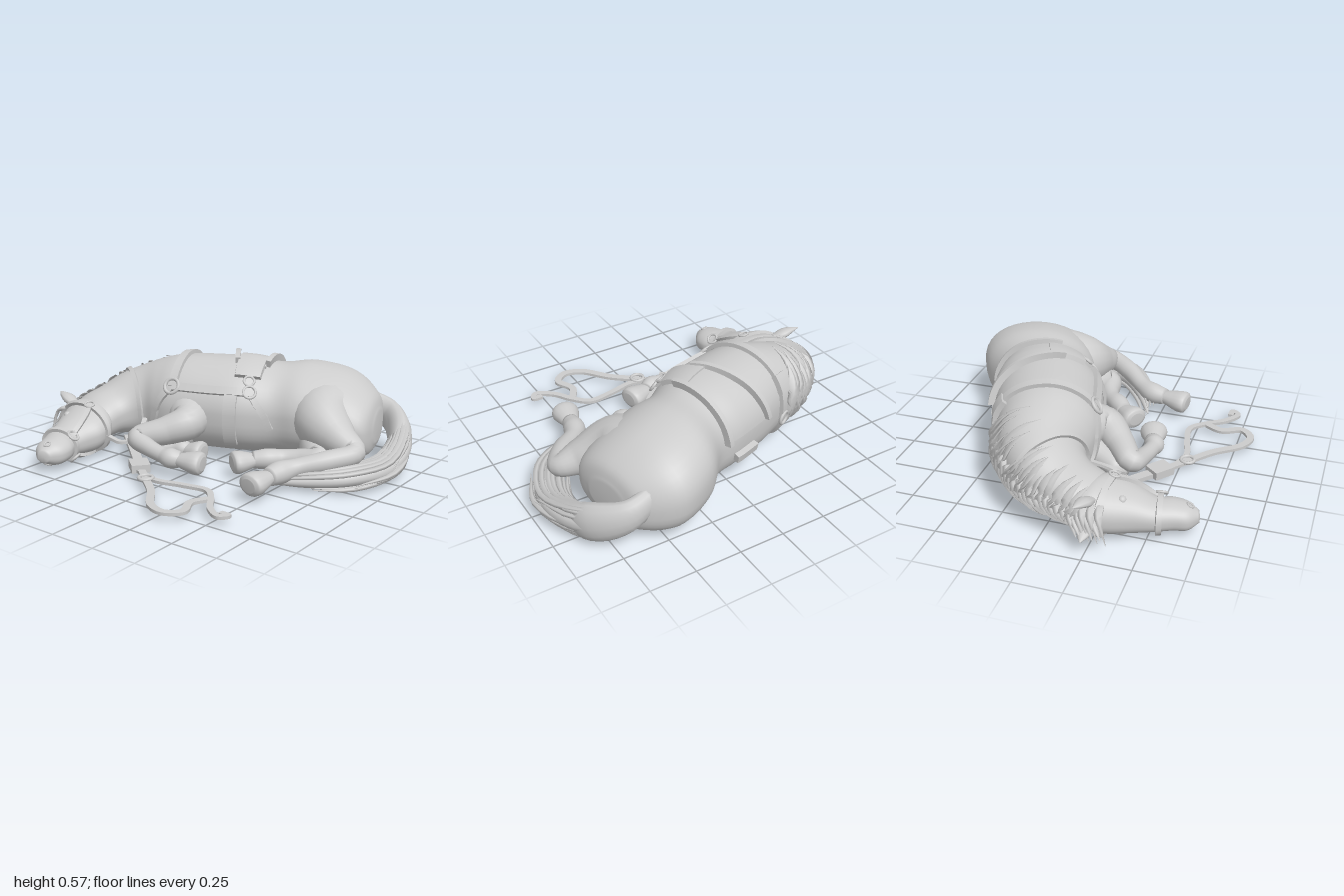
import * as THREE from 'three';
import { toCreasedNormals } from 'three/addons/utils/BufferGeometryUtils.js';

const V = (x, y, z) => new THREE.Vector3(x, y, z);
const UP = V(0, 1, 0);
const rnd = (i) => { const s = Math.sin(i * 127.1 + 3.7) * 43758.5453; return s - Math.floor(s); };

// Skin a list of closed rings; capped ones are oriented by signed volume
function loft(rings, caps = true) {
  const n = rings[0].length, pos = [], idx = [];
  rings.forEach((r) => r.forEach((p) => pos.push(p.x, p.y, p.z)));
  for (let i = 0; i < rings.length - 1; i++) for (let j = 0; j < n; j++) {
    const a = i * n + j, b = i * n + (j + 1) % n;
    idx.push(a, b, a + n, b, b + n, a + n);
  }
  if (caps) [0, rings.length - 1].forEach((i) => {
    const c = rings[i].reduce((s, p) => s.add(p), V(0, 0, 0)).divideScalar(n), k = pos.length / 3;
    pos.push(c.x, c.y, c.z);
    for (let j = 0; j < n; j++) {
      const a = i * n + j, b = i * n + (j + 1) % n;
      if (i) idx.push(a, b, k); else idx.push(b, a, k);
    }
  });
  const at = (i) => V(pos[i * 3], pos[i * 3 + 1], pos[i * 3 + 2]);
  let vol = 0;
  for (let i = 0; i < idx.length; i += 3) vol += at(idx[i]).dot(at(idx[i + 1]).cross(at(idx[i + 2])));
  if (vol < 0) idx.reverse();
  const g = new THREE.BufferGeometry();
  g.setAttribute('position', new THREE.Float32BufferAttribute(pos, 3));
  g.setIndex(idx);
  g.computeVertexNormals();
  return g;
}

// Surface through oval sections: [back x, back z, belly x, belly z, low y, high y]
function ovalSurface(rows) {
  const a = new THREE.CatmullRomCurve3(rows.map((r) => V(r[0], r[4], r[1])), false, 'catmullrom');
  const b = new THREE.CatmullRomCurve3(rows.map((r) => V(r[2], r[5], r[3])), false, 'catmullrom');
  const last = rows.length - 1, pw = (v, e) => Math.sign(v) * Math.abs(v) ** e;
  const centre = (t) => a.getPoint(t / last).add(b.getPoint(t / last)).multiplyScalar(0.5);
  const raw = (t, deg) => {
    const A = a.getPoint(t / last), B = b.getPoint(t / last), an = deg * Math.PI / 180;
    // Squarer where the weight rests on the ground, softer towards the upper belly
    const e = Math.sin(an) < 0 ? 0.76 : Math.cos(an) < 0 ? 1.05 : 0.93;
    const c = pw(Math.cos(an), e), s = pw(Math.sin(an), e);
    return V((A.x + B.x + (A.x - B.x) * c) / 2, (A.y + B.y + (B.y - A.y) * s) / 2, (A.z + B.z + (A.z - B.z) * c) / 2);
  };
  const normal = (t, deg) => {
    const t0 = Math.max(0, t - 0.05), t1 = Math.min(last, t + 0.05);
    const n = raw(t1, deg).sub(raw(t0, deg)).cross(raw(t, deg + 3).sub(raw(t, deg - 3))).normalize();
    return n.dot(raw(t, deg).sub(centre(t))) < 0 ? n.negate() : n;
  };
  const point = (t, deg, off = 0) => raw(t, deg).addScaledVector(normal(t, deg), off);
  const geometry = () => {
    const rings = [];
    for (let i = 0; i <= last * 6; i++) {
      rings.push(Array.from({ length: 40 }, (_, j) => raw(i / 6, j * 9)));
    }
    return loft(rings);
  };
  return { point, normal, geometry };
}

// Round limb through [x, y, z, radius]
function limb(pts, sides = 14, flat = 1, steps = 6) {
  const c = new THREE.CatmullRomCurve3(pts.map((p) => V(p[0], p[1], p[2])));
  const r = new THREE.CatmullRomCurve3(pts.map((p, i) => V(p[3], i, 0)), false, 'catmullrom');
  const n = (pts.length - 1) * steps, rings = [];
  for (let i = 0; i <= n; i++) {
    const p = c.getPoint(i / n), t = c.getTangent(i / n), R = Math.max(0.001, r.getPoint(i / n).x);
    const side = t.clone().cross(UP).normalize(), up = side.clone().cross(t).normalize();
    rings.push(Array.from({ length: sides }, (_, j) => {
      const a = j / sides * Math.PI * 2;
      return p.clone().addScaledVector(side, Math.cos(a) * R).addScaledVector(up, Math.sin(a) * R * flat);
    }));
  }
  return loft(rings);
}

// Flat strap along points with a facing direction at each
function ribbon(pts, normals, w, h) {
  const rings = pts.map((p, i) => {
    const t = pts[Math.min(i + 1, pts.length - 1)].clone().sub(pts[Math.max(i - 1, 0)]);
    const s = t.cross(normals[i]).normalize();
    return [[1, 1], [-1, 1], [-1, -1], [1, -1]].map(([u, v]) =>
      p.clone().addScaledVector(s, u * w).addScaledVector(normals[i], v * h));
  });
  return toCreasedNormals(loft(rings), 0.7);
}

export function createModel() {
  const group = new THREE.Group();
  const grey = new THREE.MeshStandardMaterial({ color: 0xcccccc, side: THREE.DoubleSide });
  grey.name = 'light grey';
  const add = (name, g) => {
    const m = new THREE.Mesh(g, grey);
    m.name = name;
    group.add(m);
    return m;
  };

  // Trunk and neck, rump to poll
  const body = ovalSurface([
    [0.69, -0.63, 0.75, -0.42, 0.12, 0.28], [0.62, -0.75, 0.74, -0.28, 0.05, 0.375],
    [0.45, -0.83, 0.60, -0.20, 0.02, 0.475], [0.25, -0.75, 0.42, -0.14, 0.02, 0.52],
    [0.10, -0.60, 0.28, -0.11, 0.02, 0.51], [-0.05, -0.56, 0.12, 0.0, 0.02, 0.53],
    [-0.25, -0.49, -0.05, 0.06, 0.02, 0.53], [-0.42, -0.41, -0.25, 0.11, 0.02, 0.52],
    [-0.58, -0.34, -0.36, 0.11, 0.03, 0.485], [-0.72, -0.23, -0.44, 0.10, 0.04, 0.435],
    [-0.82, -0.10, -0.50, 0.12, 0.05, 0.385], [-0.86, 0.03, -0.54, 0.17, 0.06, 0.33],
    [-0.89, 0.16, -0.56, 0.25, 0.05, 0.29], [-0.86, 0.24, -0.60, 0.31, 0.07, 0.25],
  ]);
  add('trunk and neck', body.geometry());

  // Head, poll to muzzle
  const head = ovalSurface([
    [-0.88, 0.17, -0.62, 0.20, 0.10, 0.26], [-0.90, 0.24, -0.54, 0.26, 0.04, 0.275],
    [-0.87, 0.32, -0.52, 0.36, 0.02, 0.25], [-0.81, 0.44, -0.55, 0.44, 0.02, 0.215],
    [-0.77, 0.54, -0.57, 0.51, 0.03, 0.18], [-0.73, 0.62, -0.54, 0.58, 0.03, 0.17],
    [-0.70, 0.69, -0.54, 0.65, 0.03, 0.155], [-0.64, 0.735, -0.58, 0.715, 0.06, 0.12],
  ]);
  add('head', head.geometry());
  [60, -60].forEach((a) => {
    const e = add('eye', new THREE.SphereGeometry(0.022, 14, 10));
    e.position.copy(head.point(2.5, a, -0.012));
    const n = add('nostril', new THREE.TorusGeometry(0.016, 0.006, 6, 12));
    n.position.copy(head.point(6.2, a * 1.5));
    n.quaternion.setFromUnitVectors(V(0, 0, 1), head.normal(6.2, a * 1.5));
  });
  add('upper ear', limb([[-0.83, 0.23, 0.25, 0.025], [-0.89, 0.25, 0.235, 0.04], [-0.94, 0.265, 0.225, 0.028], [-0.99, 0.275, 0.21, 0.002]], 10, 0.6));
  add('lower ear', limb([[-0.83, 0.1, 0.25, 0.025], [-0.89, 0.1, 0.24, 0.04], [-0.94, 0.09, 0.24, 0.028], [-0.98, 0.08, 0.24, 0.002]], 10, 0.6));

  // Legs and hooves
  add('upper hind leg', limb([[0.47, 0.27, -0.42, 0.2], [0.52, 0.26, -0.26, 0.165], [0.67, 0.205, -0.18, 0.1], [0.785, 0.165, -0.14, 0.058],
    [0.7, 0.14, 0.0, 0.055], [0.59, 0.115, 0.11, 0.048], [0.54, 0.1, 0.19, 0.06], [0.525, 0.095, 0.27, 0.046]], 20));
  add('lower hind leg', limb([[0.5, 0.15, -0.35, 0.12], [0.53, 0.13, -0.2, 0.1], [0.6, 0.1, -0.1, 0.07], [0.5, 0.09, -0.07, 0.056],
    [0.42, 0.09, -0.03, 0.047], [0.36, 0.09, 0.03, 0.055], [0.3, 0.085, 0.08, 0.045]], 20));
  add('upper foreleg', limb([[-0.2, 0.25, -0.02, 0.13], [-0.12, 0.22, 0.1, 0.1], [-0.2, 0.18, 0.2, 0.078], [-0.31, 0.145, 0.3, 0.06],
    [-0.2, 0.12, 0.335, 0.046], [-0.09, 0.105, 0.35, 0.043], [-0.04, 0.1, 0.35, 0.054], [0.01, 0.095, 0.325, 0.043]], 20));
  add('lower foreleg', limb([[-0.22, 0.13, -0.02, 0.1], [-0.24, 0.11, 0.1, 0.075], [-0.3, 0.08, 0.23, 0.055],
    [-0.24, 0.07, 0.2, 0.042], [-0.17, 0.075, 0.17, 0.04], [-0.12, 0.08, 0.15, 0.05], [-0.08, 0.075, 0.14, 0.04]], 20));
  [[0.525, 0.095, 0.26, -0.025, -0.01, 0.15], [0.31, 0.085, 0.07, -0.08, -0.005, 0.105],
    [0.0, 0.095, 0.335, 0.14, -0.005, -0.035], [-0.1, 0.075, 0.145, 0.11, 0, -0.02]].forEach(([x, y, z, dx, dy, dz]) => {
    const h = [[0, 0.042], [0.3, 0.058], [0.7, 0.075], [0.92, 0.07], [1, 0.045]];
    add('hoof', limb(h.map(([k, r]) => [x + dx * k, y + dy * k, z + dz * k, r]), 16, 0.8));
  });

  // Tail: deep at the root, flattening along the ground, with loose strands
  const tail = [[0.56, 0.27, -0.71, 0.045], [0.7, 0.21, -0.71, 0.055], [0.83, 0.13, -0.57, 0.066], [0.89, 0.075, -0.28, 0.074],
    [0.8, 0.06, -0.04, 0.062], [0.64, 0.045, 0.09, 0.042], [0.42, 0.025, 0.19, 0.004]];
  add('tail', limb(tail, 12, 0.75));
  add('tail root', limb([...tail.slice(0, 3), [0.88, 0.08, -0.38, 0.03]], 14, 1.6));
  for (let i = 0; i < 20; i++) {
    const a = i * 2.4, end = 3 + (i % 4);
    add('tail strand', limb(tail.slice(1, end + 1).map(([x, y, z, r], k) => {
      const s = k * 0.013 + r * 0.75, v = k < 2 ? 1.5 : 0.6;
      return [x + Math.cos(a) * s, Math.max(0.02, y + Math.sin(a) * s * v), z + Math.cos(a) * s * 0.6, k === end - 1 ? 0.002 : 0.019 - k * 0.001];
    }), 5, 0.8, 4));
  }

  // Mane locks falling to both sides of the crest, then forelock
  for (let i = 0; i < 46; i++) {
    const t = 7.2 + i / 45 * 5.2, down = i % 2, a0 = down ? 12 : -12, reach = (down ? -75 : 85) * (0.6 + 0.55 * rnd(i));
    const lean = 0.1 + 0.55 * rnd(i + 90);
    add('mane lock', limb([0, 0.35, 0.7, 1].map((k) => {
      const p = body.point(Math.min(12.9, t + lean * k), a0 + reach * k, 0.002 + 0.009 * k);
      return [p.x, Math.max(0.02, p.y), p.z, [0.03, 0.036, 0.02, 0.002][Math.round(k * 3)]];
    }), 6, 0.3, 3));
  }
  for (let i = 0; i < 8; i++) {
    const z = 0.16 + i * 0.02, q = rnd(i + 40) * 0.05;
    add('forelock', limb([[-0.86, 0.22, z, 0.025], [-0.915, 0.19 - q, z + 0.01, 0.02], [-0.93 - q * 0.5, 0.05 + q, z + 0.05, 0.002]], 5, 0.5, 3));
  }

  // Straps following the body or head surface through [section, angle]
  const strap = (name, surf, path, w = 0.02, h = 0.009) => {
    const c = new THREE.CatmullRomCurve3(path.map(([t, a]) => V(t, a / 60, 0)));
    const s = c.getPoints(60);
    add(name, ribbon(s.map((p) => surf.point(p.x, p.y * 60, h)), s.map((p) => surf.normal(p.x, p.y * 60)), w, h));
  };
  const loop = (name, surf, t, w) => strap(name, surf, [0, 90, 180, 270, 362].map((a) => [t, a]), w);
  const ring = (name, surf, t, a, r) => {
    const m = add(name, new THREE.TorusGeometry(r, r * 0.24, 8, 24));
    m.position.copy(surf.point(t, a, 0.02));
    m.quaternion.setFromUnitVectors(V(0, 0, 1), surf.normal(t, a));
  };
  strap('collar strap', body, [[6.9, -10], [6.9, 70], [6.9, 150]], 0.024, 0.011);
  strap('hanging strap', body, [[6.9, -10], [7, -35], [7.15, -65]], 0.018);
  strap('girth', body, [[5.15, 150], [5.15, 180], [5.15, 215]], 0.035);
  strap('neck strap', body, [[9.6, 20], [9.6, 90], [9.4, 150], [9.2, 190]], 0.012);
  strap('side strap', body, [[4.65, 150], [5.8, 151], [6.9, 150]], 0.022, 0.012);
  strap('belly strap', body, [[4.65, 150], [4.4, 165], [4, 190]], 0.018);
  strap('chest strap', body, [[6.9, 150], [7.5, 170], [8.2, 205]], 0.018);
  strap('saddle strap', body, [[4.75, 110], [4.75, 130], [4.68, 150]], 0.02);
  [[6.9, 150, 0.042], [4.65, 150, 0.033], [4.72, 137, 0.028], [6.9, -10, 0.036]].forEach(([t, a, r]) => ring('harness ring', body, t, a, r));
  strap('withers buckle', body, [[6.95, 18], [6.95, 40]], 0.04, 0.015);
  strap('saddle roll', body, [[4.7, -14], [5.5, -14]], 0.022, 0.016);

  // Saddle layers, tapering from the back [t0, t1] towards the flap [t2, t3]
  const patch = (name, [t0, t1], [t2, t3], a0, a1, thick) => {
    const rings = [], mix = THREE.MathUtils.lerp;
    for (let i = 0; i <= 16; i++) {
      const r = [];
      const at = (j, off) => body.point(mix(mix(t0, t2, j / 24), mix(t1, t3, j / 24), i / 16), mix(a0, a1, j / 24), off);
      for (let j = 0; j <= 24; j++) r.push(at(j, i % 16 ? thick : -0.01));
      for (let j = 24; j >= 0; j--) r.push(at(j, -0.012));
      rings.push(r);
    }
    add(name, toCreasedNormals(loft(rings, false), 0.7));
  };
  patch('saddle pad', [4.25, 5.95], [4.35, 5.2], 6, 112, 0.014);
  patch('saddle flap', [4.38, 5.35], [4.4, 5.2], 92, 131, 0.024);
  strap('rear saddle edge', body, [[4.27, 6], [4.25, 50], [4.35, 108]], 0.014, 0.02);
  strap('front saddle edge', body, [[5.93, 6], [5.7, 50], [5.25, 108]], 0.014, 0.018);

  // Bridle
  loop('brow strap', head, 1.6, 0.014);
  loop('nose strap', head, 4.2, 0.014);
  [105, 255].forEach((a) => {
    strap('cheek strap', head, [[1.6, a], [3, a + (a < 180 ? 20 : -20)], [4.2, a + (a < 180 ? 35 : -35)]], 0.013);
    ring('cheek ring', head, 1.6, a, 0.026);
    ring('bit ring', head, 4.2, a + (a < 180 ? 35 : -35), 0.03);
  });

  // Reins lying on the ground
  const rein = (name, pts, w, h = 0.008) => {
    const s = new THREE.CatmullRomCurve3(pts.map(([x, z, y = 0.035]) => V(x, y, z))).getPoints(pts.length * 10);
    add(name, ribbon(s, s.map(() => UP), w, h));
  };
  rein('rein lead', [[-0.56, 0.1, 0.05], [-0.36, 0.27], [-0.17, 0.44]], 0.026, 0.012);
  rein('rein keeper', [[-0.24, 0.385, 0.045], [-0.15, 0.46, 0.045]], 0.05, 0.022);
  rein('long rein', [[-0.17, 0.44], [-0.05, 0.54], [0.08, 0.65], [0.2, 0.79], [0.3, 0.82], [0.37, 0.76], [0.33, 0.65], [0.37, 0.56]], 0.02);
  rein('rein end', [[-0.17, 0.46], [0, 0.52], [0.15, 0.49], [0.3, 0.475], [0.38, 0.55], [0.45, 0.65], [0.54, 0.705], [0.57, 0.67], [0.52, 0.665]], 0.016);
  rein('throat rein', [[-0.52, 0.32, 0.12], [-0.42, 0.31, 0.1], [-0.38, 0.22, 0.12], [-0.43, 0.1, 0.18]], 0.014);
  const buckle = add('rein buckle', new THREE.TorusGeometry(0.036, 0.01, 8, 20));
  buckle.position.set(-0.05, 0.045, 0.54);
  buckle.rotation.x = Math.PI / 2;
  return group;
}
